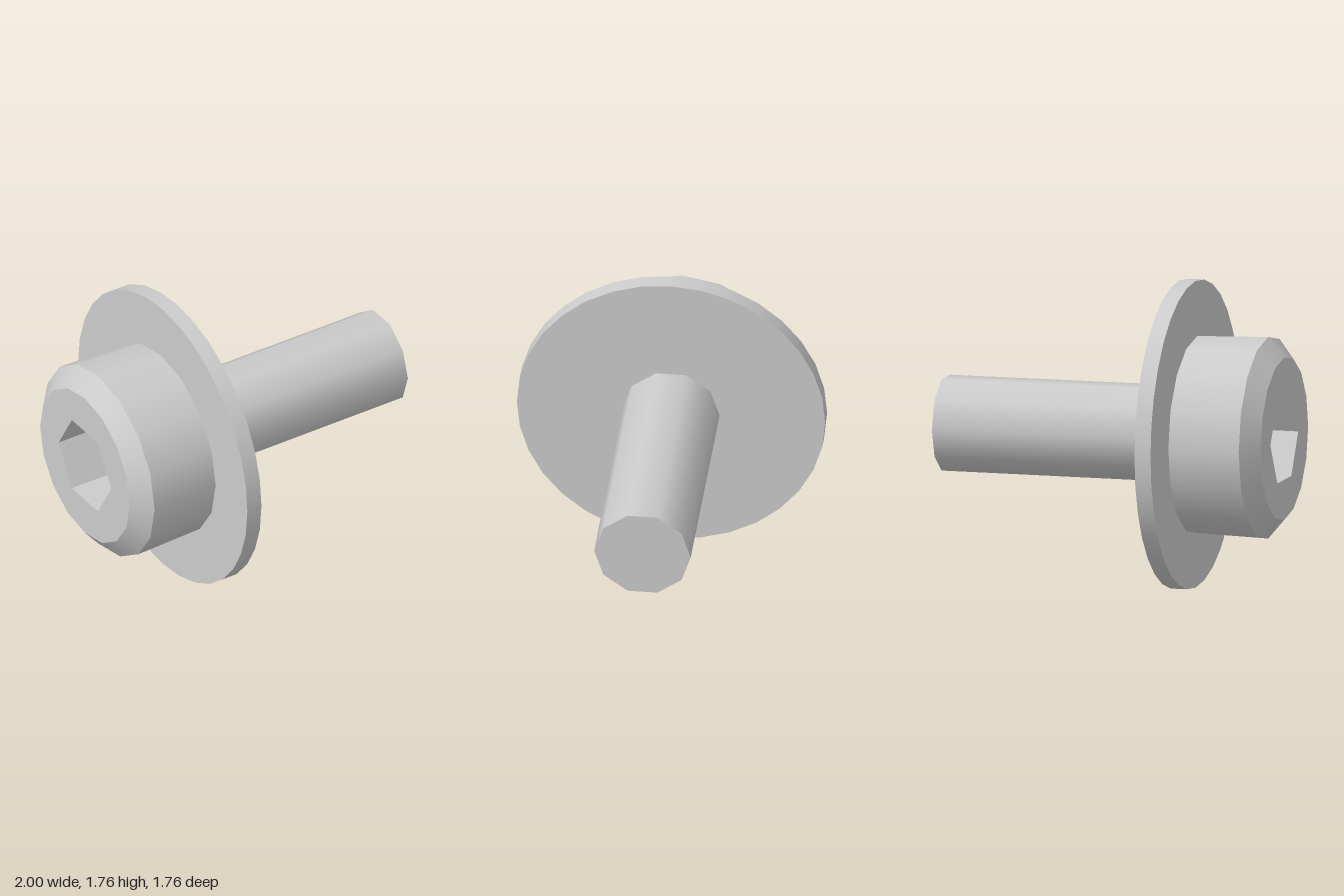
import * as THREE from 'three';

const AXIS_Y = 0.88; // height of the screw axis

export function createModel() {
  const model = new THREE.Group();
  const grey = new THREE.MeshStandardMaterial({ color: 0xcccccc });
  const socketGrey = new THREE.MeshStandardMaterial({ color: 0xcccccc, flatShading: true, side: THREE.DoubleSide });

  const add = (name, geometry, parent, material = grey) => {
    const mesh = new THREE.Mesh(geometry, material);
    mesh.name = name;
    parent.add(mesh);
  };

  // Cylinder along x from x0 (radius r0) to x1 (radius r1)
  const rod = (x0, x1, r0, r1, sides, open = false) =>
    new THREE.CylinderGeometry(r1, r0, x1 - x0, sides, 1, open)
      .rotateZ(-Math.PI / 2)
      .translate((x0 + x1) / 2, 0, 0);

  const polygon = (r, sides) =>
    Array.from({ length: sides }, (_, i) => {
      const a = (i / sides) * Math.PI * 2;
      return new THREE.Vector2(r * Math.cos(a), r * Math.sin(a));
    });

  const screw = new THREE.Group();
  screw.name = 'screw';
  screw.position.y = AXIS_Y;
  model.add(screw);

  // Shank and washer
  add('shank', rod(-0.485, 1, 0.277, 0.275, 10), screw);
  add('washer', rod(-0.475, -0.38, 0.878, 0.878, 32), screw);

  // Head: slightly tapered side, chamfer, underside and face with a hexagonal opening
  const head = new THREE.Group();
  head.name = 'head';
  screw.add(head);
  add('headSide', rod(-0.905, -0.485, 0.577, 0.564, 16, true), head);
  add('headChamfer', rod(-1, -0.905, 0.465, 0.577, 16, true), head);
  add('headUnderside', new THREE.CircleGeometry(0.564, 16).rotateY(Math.PI / 2).translate(-0.485, 0, 0), head);

  const face = new THREE.Shape(polygon(0.465, 16));
  face.holes.push(new THREE.Path(polygon(0.272, 6)));
  add('headFace', new THREE.ShapeGeometry(face).rotateY(-Math.PI / 2).translate(-1, 0, 0), head);

  // Hexagonal drive socket
  add('socketWalls', rod(-1, -0.6, 0.272, 0.272, 6, true), head, socketGrey);
  add('socketFloor', new THREE.CircleGeometry(0.272, 6).rotateY(-Math.PI / 2).translate(-0.6, 0, 0), head);

  return model;
}
